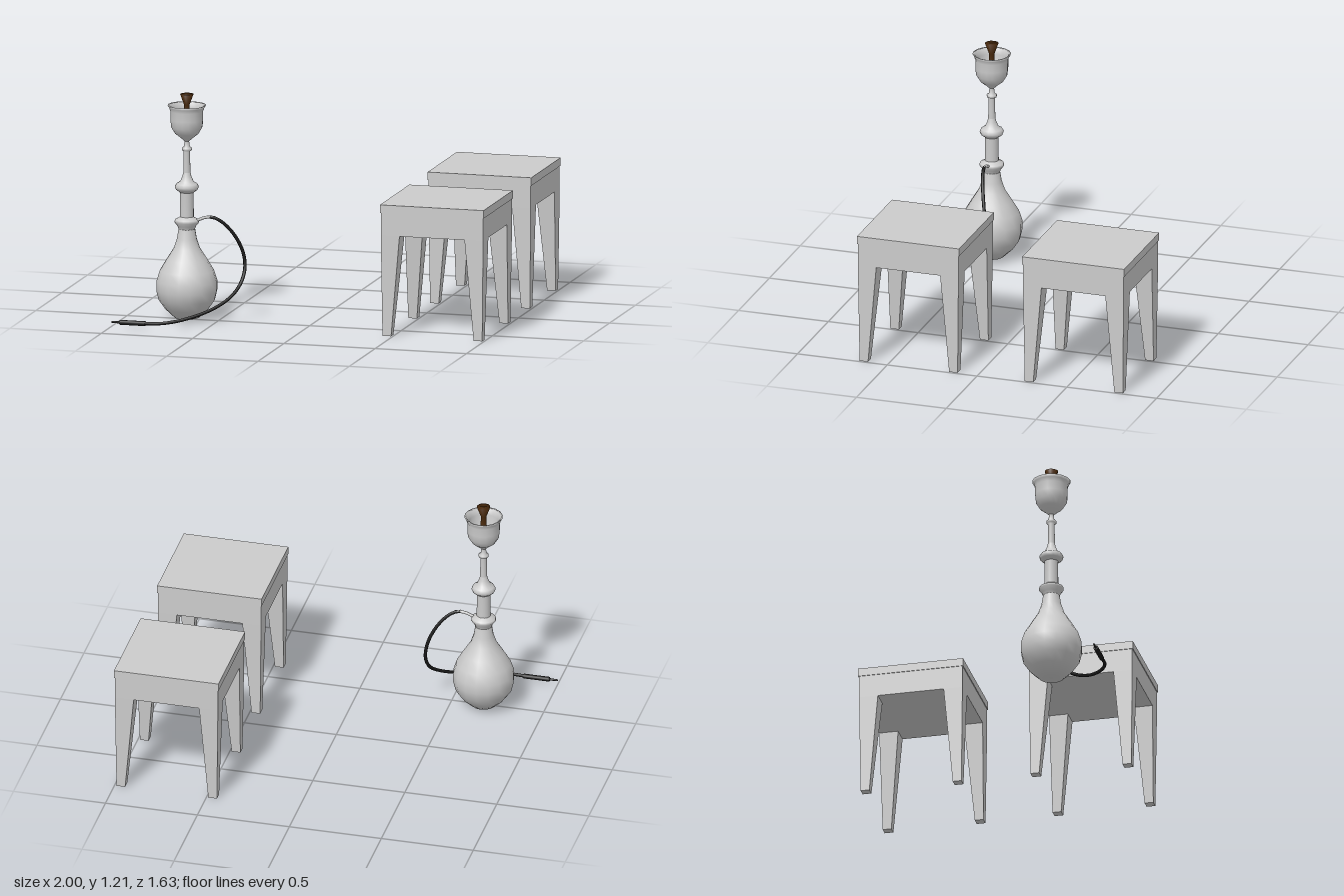
import * as THREE from 'three';

const grey = new THREE.MeshStandardMaterial({ color: 0xcccccc, side: THREE.DoubleSide });
const flatGrey = new THREE.MeshStandardMaterial({ color: 0xcccccc, flatShading: true });
const black = new THREE.MeshStandardMaterial({ color: 0x1a1a1a });
const brown = new THREE.MeshStandardMaterial({ color: 0x4a2a0c, side: THREE.DoubleSide });

function add(parent, name, geometry, material, x = 0, y = 0, z = 0) {
  const mesh = new THREE.Mesh(geometry, material);
  mesh.name = name;
  mesh.position.set(x, y, z);
  parent.add(mesh);
  return mesh;
}

const lathe = (points, sides) =>
  new THREE.LatheGeometry(points.map(([r, y]) => new THREE.Vector2(r, y)), sides);

const path = (points) =>
  new THREE.CatmullRomCurve3(points.map((p) => new THREE.Vector3(...p)));

// Leg in the +x +z corner: a box whose lower end narrows towards the outside
function legGeometry() {
  const g = new THREE.BoxGeometry(1, 0.54, 1);
  const p = g.attributes.position;
  for (let i = 0; i < p.count; i++) {
    const low = p.getY(i) < 0;
    const inner = low ? 0.226 : 0.178;
    const outer = low ? 0.273 : 0.28;
    p.setX(i, p.getX(i) < 0 ? inner : outer);
    p.setZ(i, p.getZ(i) < 0 ? inner : outer);
  }
  g.translate(0, 0.27, 0);
  g.computeVertexNormals();
  return g;
}

function createStool() {
  const stool = new THREE.Group();
  stool.name = 'stool';
  add(stool, 'seat', new THREE.BoxGeometry(0.568, 0.043, 0.568), flatGrey, 0, 0.6835, 0);
  add(stool, 'apron', new THREE.BoxGeometry(0.56, 0.122, 0.56), flatGrey, 0, 0.601, 0);
  const leg = legGeometry();
  for (let i = 0; i < 4; i++) {
    add(stool, 'leg', leg, flatGrey).rotation.y = (i * Math.PI) / 2;
  }
  return stool;
}

function createWaterPipe() {
  const pipe = new THREE.Group();
  pipe.name = 'waterPipe';

  // Turned body parts, standing on the pipe's own axis
  const turned = new THREE.Group();
  turned.name = 'turnedBody';
  turned.position.set(-0.675, 0, 0.493);
  pipe.add(turned);
  add(turned, 'vase', lathe([
    [0, 0.008], [0.065, 0.008], [0.115, 0.055], [0.15, 0.105], [0.162, 0.155], [0.162, 0.205],
    [0.144, 0.26], [0.108, 0.32], [0.07, 0.38], [0.053, 0.43], [0.043, 0.49],
  ], 16), grey);
  add(turned, 'lowerCollar', lathe([
    [0.043, 0.48], [0.05, 0.5], [0.066, 0.52], [0.063, 0.533], [0.042, 0.543], [0.036, 0.55],
  ], 16), grey);
  add(turned, 'lowerStem', lathe([[0.037, 0.54], [0.036, 0.68], [0.042, 0.685]], 16), grey);
  add(turned, 'upperCollar', lathe([
    [0.038, 0.68], [0.058, 0.695], [0.064, 0.71], [0.056, 0.725], [0.036, 0.738], [0.024, 0.765],
    [0.018, 0.79],
  ], 16), grey);
  add(turned, 'upperStem', lathe([
    [0.019, 0.78], [0.017, 0.9], [0.026, 0.905], [0.027, 0.917], [0.016, 0.925], [0.012, 0.955],
    [0.02, 0.965],
  ], 16), grey);

  // Open bowl with an inner wall
  add(turned, 'bowl', lathe([
    [0.014, 0.955], [0.03, 0.97], [0.062, 0.995], [0.083, 1.03], [0.087, 1.07], [0.087, 1.115],
    [0.094, 1.135], [0.102, 1.148], [0.09, 1.145], [0.077, 1.115], [0.074, 1.05], [0.05, 1.01],
    [0, 1.0],
  ], 16), grey);
  add(turned, 'tobaccoCup', lathe([
    [0.032, 1.0], [0.026, 1.05], [0.016, 1.1], [0.015, 1.15], [0.036, 1.207], [0, 1.207],
  ], 12), brown);

  // Hose with its grey connector and mouthpiece
  add(pipe, 'hoseConnector', new THREE.TubeGeometry(path([
    [-0.65, 0.515, 0.493], [-0.61, 0.535, 0.493], [-0.575, 0.549, 0.492], [-0.535, 0.553, 0.489],
  ]), 8, 0.008, 8), grey);
  add(pipe, 'hose', new THREE.TubeGeometry(path([
    [-0.55, 0.553, 0.491], [-0.52, 0.547, 0.487], [-0.475, 0.517, 0.475], [-0.42, 0.448, 0.454],
    [-0.383, 0.36, 0.435], [-0.373, 0.28, 0.436], [-0.384, 0.205, 0.475], [-0.42, 0.14, 0.553],
    [-0.5, 0.085, 0.648], [-0.63, 0.043, 0.748], [-0.735, 0.028, 0.797], [-0.83, 0.024, 0.8],
  ]), 40, 0.009, 8), black);
  const handle = new THREE.CylinderGeometry(0.013, 0.013, 0.14, 10).rotateZ(Math.PI / 2);
  add(pipe, 'hoseHandle', handle, black, -0.885, 0.024, 0.8);
  const tip = new THREE.CylinderGeometry(0.007, 0.005, 0.06, 8).rotateZ(-Math.PI / 2);
  add(pipe, 'mouthpiece', tip, black, -0.97, 0.024, 0.8);
  return pipe;
}

export function createModel() {
  const model = new THREE.Group();
  model.name = 'waterPipeWithStools';
  for (const z of [0.385, -0.535]) {
    const stool = createStool();
    stool.position.set(0.716, 0, z);
    model.add(stool);
  }
  model.add(createWaterPipe());
  return model;
}
